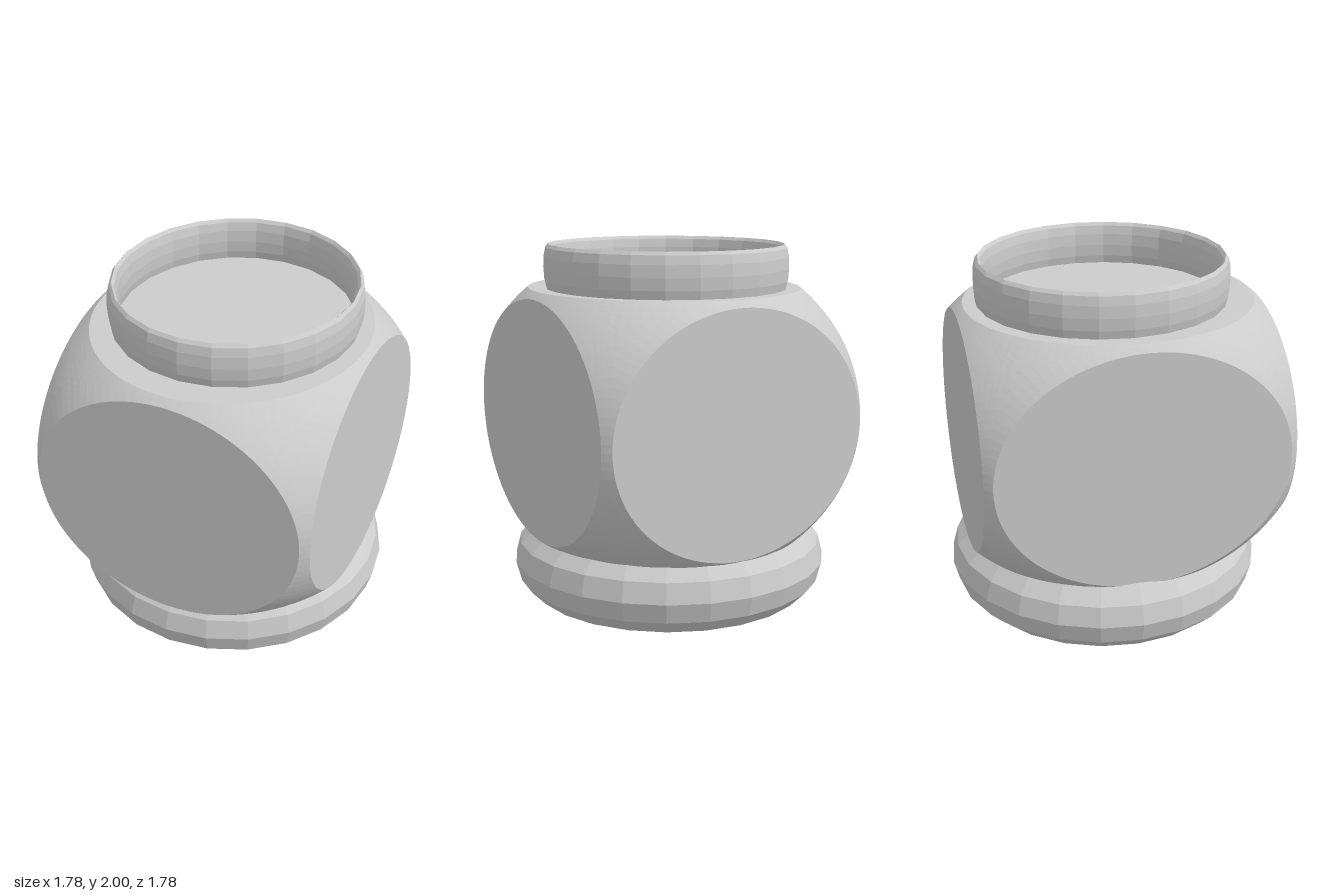
import * as THREE from 'three';

const grey = new THREE.MeshStandardMaterial({ color: 0xcccccc, flatShading: true });

// Unit sphere with its six caps sliced off at distance k, built face by face
function cutSphere(k, segments = 96, rings = 5) {
  const r = Math.sqrt(1 - k * k);
  const positions = [];
  const indices = [];
  const axes = [[1, 0, 0], [0, 1, 0], [0, 0, 1], [-1, 0, 0], [0, -1, 0], [0, 0, -1]];
  axes.forEach((axis) => {
    const n = new THREE.Vector3(...axis);
    const u = new THREE.Vector3(axis[1], axis[2], axis[0]);
    const v = n.clone().cross(u);
    const base = positions.length / 3;
    const add = (a, b, c) => {
      const p = n.clone().multiplyScalar(c).addScaledVector(u, a).addScaledVector(v, b);
      positions.push(p.x, p.y, p.z);
    };
    add(0, 0, k); // centre of the flat disc
    for (let j = 0; j <= rings; j++) {
      for (let i = 0; i < segments; i++) {
        const t = (i / segments) * Math.PI * 2;
        const c = Math.cos(t), s = Math.sin(t);
        const m = Math.max(Math.abs(c), Math.abs(s));
        // from the disc rim out to the seam shared with the next face
        const d = THREE.MathUtils.lerp(r / k, 1 / m, j / rings);
        const len = Math.hypot(d, 1);
        add((c * d) / len, (s * d) / len, 1 / len);
        const next = (i + 1) % segments;
        const a = base + 1 + j * segments + i;
        const b = base + 1 + j * segments + next;
        if (j === 0) indices.push(base, a, b);
        else indices.push(a - segments, a, b, a - segments, b, b - segments);
      }
    }
  });
  const geometry = new THREE.BufferGeometry();
  geometry.setAttribute('position', new THREE.Float32BufferAttribute(positions, 3));
  geometry.setIndex(indices);
  return geometry;
}

// Horizontal ring with an optional stretch of its cross-section
function ring(name, radius, tube, tubeSides, y) {
  const geometry = new THREE.TorusGeometry(radius, tube, tubeSides, 24);
  geometry.rotateX(-Math.PI / 2);
  const mesh = new THREE.Mesh(geometry, grey);
  mesh.name = name;
  mesh.position.y = y;
  return mesh;
}

export function createModel() {
  const model = new THREE.Group();
  model.name = 'jar';

  // Body: ellipsoid with six flat round faces
  const geometry = cutSphere(0.7255);
  geometry.scale(1.082, 0.965, 1.157);
  geometry.computeVertexNormals();
  const body = new THREE.Mesh(geometry, grey);
  body.name = 'body';
  body.position.set(0.015, 1.06, 0.037);
  model.add(body);

  // Thick round foot
  model.add(ring('footRing', 0.67, 0.22, 12, 0.22));

  // Thin, tall collar around the top
  const collar = ring('collar', 0.67, 0.03, 12, 1.87);
  collar.scale.set(0.965, 4.33, 1);
  collar.position.x = 0.02;
  model.add(collar);

  return model;
}
